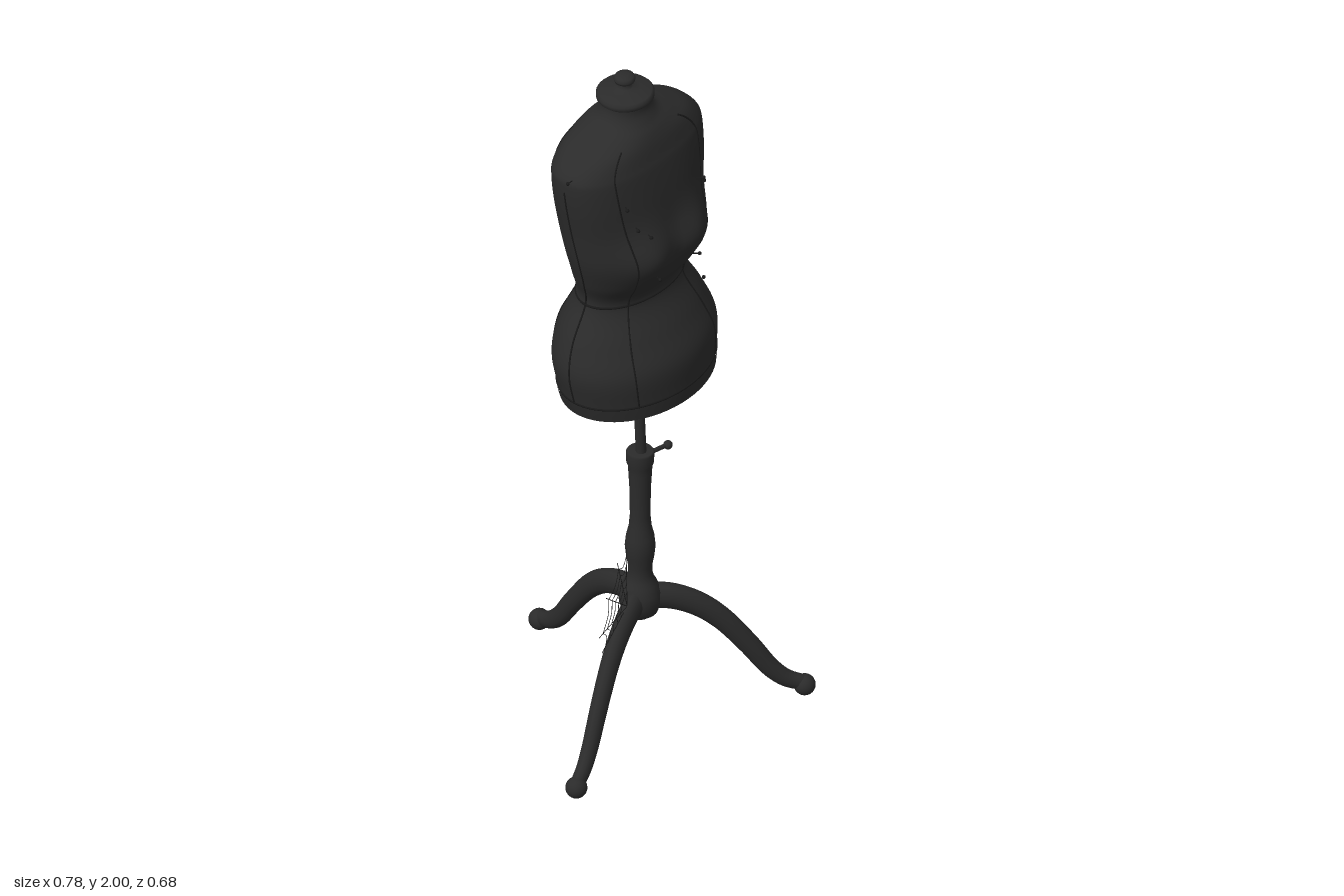
import * as THREE from 'three';

const V = (x, y, z) => new THREE.Vector3(x, y, z);
const PIVOT = 0.78;

// Torso rings: height, half width, half depth, depth offset, squareness
const RINGS = [
  [1.05, 0.222, 0.168, 0, 2], [1.10, 0.232, 0.173, -0.002, 2], [1.18, 0.24, 0.175, -0.006, 2],
  [1.26, 0.214, 0.15, -0.014, 2], [1.36, 0.166, 0.106, -0.01, 2], [1.44, 0.185, 0.126, 0.006, 2.05],
  [1.52, 0.205, 0.14, 0.012, 2.1], [1.61, 0.216, 0.136, 0.003, 2.2], [1.70, 0.228, 0.131, 0, 2.3],
  [1.77, 0.232, 0.124, -0.003, 2.35], [1.80, 0.225, 0.118, -0.005, 2.35], [1.835, 0.19, 0.108, -0.005, 2.3],
  [1.862, 0.138, 0.095, -0.004, 2.1], [1.885, 0.088, 0.075, 0, 2], [1.91, 0.068, 0.062, 0, 2], [1.94, 0.062, 0.06, 0, 2],
];
const sizeCurve = new THREE.CatmullRomCurve3(RINGS.map(r => V(r[1], r[0], r[2])), false, 'catmullrom');
const shapeCurve = new THREE.CatmullRomCurve3(RINGS.map(r => V(r[3], r[4], 0)), false, 'catmullrom');

// Point on the torso surface; swell pushes it outward
function bodyPoint(t, phi, swell = 0) {
  const s = sizeCurve.getPoint(t), k = shapeCurve.getPoint(t);
  const c = Math.cos(phi), n = Math.sin(phi), e = 2 / k.y;
  const x = (s.x + swell) * Math.sign(c) * Math.abs(c) ** e;
  let z = k.x + (s.z + swell) * Math.sign(n) * Math.abs(n) ** e;
  if (n > 0) z += 0.03 * n * Math.exp(-(((Math.abs(x) - 0.09) / 0.07) ** 2) - ((s.y - 1.53) / 0.085) ** 2);
  return V(x, s.y, z);
}

// Curve parameter at a given height
function tAt(y) {
  let lo = 0, hi = 1;
  for (let i = 0; i < 24; i++) {
    const m = (lo + hi) / 2;
    if (sizeCurve.getPoint(m).y < y) lo = m; else hi = m;
  }
  return lo;
}

// Closed-section surface from fn(t, phi)
function loft(fn, sides, rows) {
  const pos = [], idx = [];
  for (let j = 0; j <= rows; j++)
    for (let i = 0; i < sides; i++) pos.push(...fn(j / rows, (i / sides) * Math.PI * 2).toArray());
  for (let j = 0; j < rows; j++)
    for (let i = 0; i < sides; i++) {
      const a = j * sides + i, b = j * sides + (i + 1) % sides;
      idx.push(a, a + sides, b, b, a + sides, b + sides);
    }
  const g = new THREE.BufferGeometry();
  g.setAttribute('position', new THREE.Float32BufferAttribute(pos, 3));
  g.setIndex(idx);
  g.computeVertexNormals();
  return g;
}

function add(parent, name, geometry, material, x = 0, y = 0, z = 0) {
  const m = new THREE.Mesh(geometry, material);
  m.name = name;
  m.position.set(x, y, z);
  parent.add(m);
  return m;
}

const lathe = (pts, n = 28) => new THREE.LatheGeometry(pts.map(p => new THREE.Vector2(...p)), n);
const tube = (pts, r, seg, closed = false, sides = 5) =>
  new THREE.TubeGeometry(new THREE.CatmullRomCurve3(pts, closed), seg, r, sides, closed);

export function createModel() {
  const model = new THREE.Group();
  model.name = 'dressForm';
  const black = new THREE.MeshStandardMaterial({ color: 0x2b2b2b });
  black.name = 'charcoal';
  const dark = new THREE.MeshStandardMaterial({ color: 0x1a1a1a });
  dark.name = 'seamBlack';

  // Torso leans and turns on the stand
  const lean = new THREE.Group();
  lean.name = 'torso';
  lean.position.set(0, PIVOT, 0.11);
  lean.rotation.set(0, 0.17, 0.044, 'ZYX');
  model.add(lean);
  const torso = new THREE.Group();
  torso.name = 'torsoParts';
  torso.position.y = -PIVOT;
  lean.add(torso);

  add(torso, 'body', loft((t, p) => bodyPoint(t, p), 64, 90), black);
  add(torso, 'bodyBase', loft((t, p) => {
    const q = bodyPoint(0, p);
    return V(q.x * t, q.y, q.z * t);
  }, 64, 1), black);
  const hemTop = tAt(1.088);
  add(torso, 'hemBand', loft((t, p) => bodyPoint(t * hemTop, p, 0.003), 64, 3), black);

  // Seams: waist, hem and lengthwise panels
  const ringSeam = (name, y, r) => {
    const pts = [];
    for (let i = 0; i < 40; i++) pts.push(bodyPoint(tAt(y), (i / 40) * Math.PI * 2));
    add(torso, name, tube(pts, r, 90, true), dark);
  };
  ringSeam('waistSeam', 1.36, 0.0035);
  ringSeam('hemSeam', 1.09, 0.003);
  for (const deg of [0, 53, 127, 180, 233, 307]) {
    const pts = [], t0 = tAt(1.09), t1 = tAt(deg % 180 ? 1.85 : 1.76);
    for (let i = 0; i <= 24; i++) pts.push(bodyPoint(t0 + (t1 - t0) * i / 24, deg * Math.PI / 180));
    add(torso, 'panelSeam', tube(pts, 0.0025, 70), dark);
  }

  // Pins: height and angle
  for (const [y, deg] of [[1.80, 172], [1.71, 122], [1.64, 118], [1.61, 111], [1.47, 110], [1.435, 60], [1.66, 60], [1.55, 12], [1.2, 2]]) {
    const phi = deg * Math.PI / 180, p = bodyPoint(tAt(y), phi);
    const pin = new THREE.Group();
    pin.name = 'pin';
    pin.position.copy(p);
    pin.quaternion.setFromUnitVectors(V(0, 1, 0), V(Math.cos(phi), 0.15, Math.sin(phi)).normalize());
    add(pin, 'pinShaft', new THREE.CylinderGeometry(0.0015, 0.0015, 0.02, 6), dark, 0, 0.008, 0);
    add(pin, 'pinHead', new THREE.SphereGeometry(0.005, 10, 8), dark, 0, 0.018, 0);
    torso.add(pin);
  }

  // Neck cap and knob
  add(torso, 'neckCap', lathe([[0, 1.93], [0.068, 1.93], [0.074, 1.936], [0.074, 1.946], [0.068, 1.952],
    [0.04, 1.957], [0.02, 1.962], [0.014, 1.97], [0.017, 1.976], [0.026, 1.981], [0.028, 1.988],
    [0.024, 1.996], [0.012, 2.0], [0, 2.0]], 36), black);
  add(torso, 'pole', new THREE.CylinderGeometry(0.0135, 0.0135, 0.32, 18), black, 0, 0.9, 0);

  // Stand
  const stand = new THREE.Group();
  stand.name = 'stand';
  stand.position.set(0, 0, 0.105);
  model.add(stand);
  add(stand, 'column', lathe([[0, 0.285], [0.025, 0.288], [0.045, 0.305], [0.054, 0.335], [0.053, 0.365],
    [0.043, 0.39], [0.036, 0.403], [0.031, 0.42], [0.031, 0.445], [0.036, 0.475], [0.039, 0.505], [0.036, 0.535],
    [0.029, 0.565], [0.026, 0.6], [0.027, 0.68], [0.03, 0.735], [0.031, 0.755], [0.035, 0.765], [0.036, 0.795],
    [0.033, 0.8], [0, 0.8]]), black);
  const screw = add(stand, 'screwShaft', new THREE.CylinderGeometry(0.006, 0.006, 0.06, 10), black, 0.058, 0.778, 0);
  screw.rotation.z = Math.PI / 2;
  add(stand, 'screwKnob', new THREE.SphereGeometry(0.012, 14, 10), black, 0.088, 0.777, 0);

  // Three curved legs with ball feet
  const legCurve = new THREE.CatmullRomCurve3([V(0.01, 0.348, 0), V(0.08, 0.338, 0), V(0.145, 0.308, 0),
    V(0.205, 0.258, 0), V(0.275, 0.17, 0), V(0.33, 0.092, 0), V(0.37, 0.055, 0), V(0.415, 0.036, 0)]);
  const legShape = loft((t, p) => {
    const c = legCurve.getPoint(t), d = legCurve.getTangent(t);
    const h = (0.038 - 0.017 * t) * Math.cos(p), w = -(0.027 - 0.009 * t) * Math.sin(p);
    return V(c.x - d.y * h, c.y + d.x * h, w);
  }, 12, 40);
  for (let k = 0; k < 3; k++) {
    const leg = new THREE.Group();
    leg.name = 'leg';
    leg.rotation.y = Math.PI / 2 + k * Math.PI * 2 / 3;
    add(leg, 'legCurve', legShape, black);
    add(leg, 'foot', new THREE.SphereGeometry(0.028, 20, 14), black, 0.417, 0.03, 0);
    stand.add(leg);
  }

  // Cobweb above the front right leg
  const web = new THREE.Group();
  web.name = 'cobweb';
  web.rotation.y = Math.PI * 7 / 6;
  stand.add(web);
  const hub = V(0.085, 0.37, 0);
  const tips = [V(0.092, 0.555, 0), V(0.15, 0.55, 0), V(0.225, 0.49, 0), V(0.27, 0.395, 0), V(0.25, 0.335, 0)];
  tips.forEach((tip, i) => {
    add(web, 'webSpoke', tube([hub, tip], 0.001, 2, false, 4), dark);
    if (!i) return;
    for (const f of [0.25, 0.4, 0.55, 0.7, 0.85]) {
      const a = hub.clone().lerp(tips[i - 1], f), b = hub.clone().lerp(tip, f);
      const mid = a.clone().lerp(b, 0.5).lerp(hub, 0.1);
      add(web, 'webThread', tube([a, mid, b], 0.0008, 6, false, 4), dark);
    }
  });
  return model;
}
